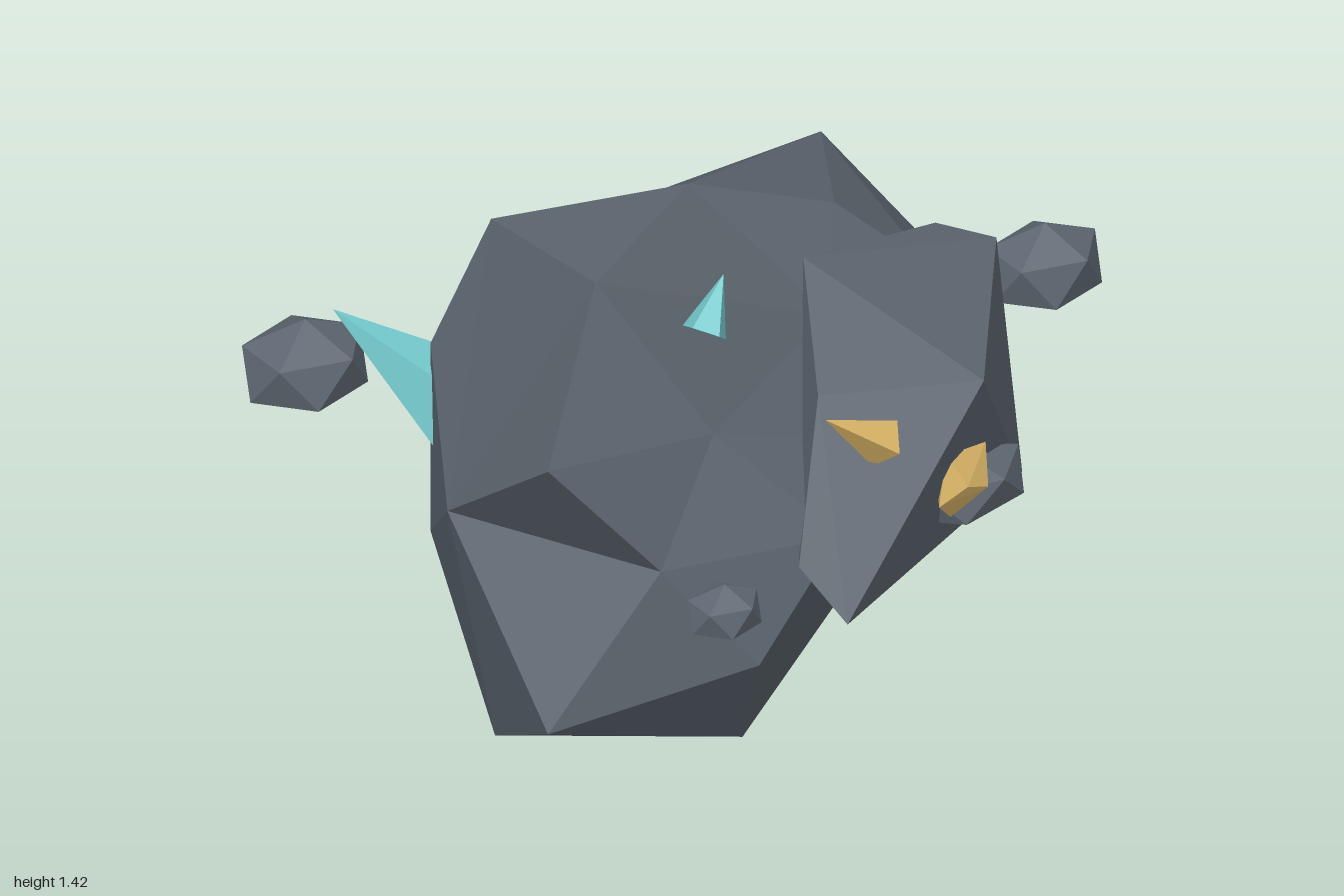
import * as THREE from 'three';
import { ConvexGeometry } from 'three/addons/geometries/ConvexGeometry.js';

const rock = new THREE.MeshStandardMaterial({ color: 0x5e6771, flatShading: true });
rock.name = 'slate rock';
const gold = new THREE.MeshStandardMaterial({ color: 0xdcb768, flatShading: true });
gold.name = 'gold ore';
const teal = new THREE.MeshStandardMaterial({ color: 0x72c8ca, flatShading: true });
teal.name = 'teal crystal';

const toVectors = (list) => list.map((p) => new THREE.Vector3(...p));

function add(group, name, geometry, material) {
  const mesh = new THREE.Mesh(geometry, material);
  mesh.name = name;
  group.add(mesh);
  return mesh;
}

// Star-shaped rock: the hull of the directions gives the faces, corners then move out or in
function starRock(points, center, stretch) {
  const corners = toVectors(points);
  const dirs = corners.map((p) => {
    const d = p.clone().sub(center);
    d.x /= stretch;
    return d.normalize();
  });
  const geometry = new ConvexGeometry(dirs);
  const pos = geometry.attributes.position;
  const v = new THREE.Vector3();
  for (let i = 0; i < pos.count; i++) {
    v.fromBufferAttribute(pos, i);
    let best = 0;
    dirs.forEach((d, k) => {
      if (d.distanceToSquared(v) < dirs[best].distanceToSquared(v)) best = k;
    });
    pos.setXYZ(i, corners[best].x, corners[best].y, corners[best].z);
  }
  geometry.computeVertexNormals();
  return geometry;
}

// Squashed icosahedron with a corner pointing up
function pebble(group, name, center, radii) {
  const geometry = new THREE.IcosahedronGeometry(1, 0);
  geometry.rotateZ(-Math.atan(2 / (1 + Math.sqrt(5))));
  geometry.scale(...radii);
  geometry.computeVertexNormals();
  add(group, name, geometry, rock).position.set(...center);
}

// Pointed crystal from a base centre to a tip
function shard(group, name, base, tip, radius, sides, material) {
  const a = new THREE.Vector3(...base);
  const axis = new THREE.Vector3(...tip).sub(a);
  const length = axis.length();
  const geometry = new THREE.ConeGeometry(radius, length, sides);
  geometry.translate(0, length / 2, 0);
  const mesh = add(group, name, geometry, material);
  mesh.position.copy(a);
  mesh.quaternion.setFromUnitVectors(new THREE.Vector3(0, 1, 0), axis.normalize());
}

export function createModel() {
  const model = new THREE.Group();
  model.name = 'asteroid';

  // Main body with a notch on its side and a hollow under the slab
  const body = [
    [-0.24, 1.38, 0.02], [-0.24, 0, 0.02], [-0.95, 0.7, 0.02], [0.57, 0.7, 0.02],
    [-0.73, 1.42, 0.33], [-0.64, 1.29, -0.24], [0.19, 1.18, 0.02], [0.45, 1.08, -0.41],
    [0.71, 0.7, -0.24], [0.52, 0.36, 0.02], [0.5, 0.36, -0.44], [0.13, 0.19, -0.2],
    [-0.24, 0.19, -0.33], [-0.81, 0.02, 0.02], [-0.38, 0.08, 0.45], [-0.96, 1.03, 0.46],
    [-0.96, 0.29, 0.46], [-0.69, 0.7, 0.55], [-0.47, 0.41, 0.65], [-0.24, 0.7, 0.66],
    [-0.5, 1, 0.5], [0.4, 0.7, -0.73], [-0.24, 0.7, -0.69], [0, 0.96, -0.57],
    [-0.43, 0.96, -0.52], [-0.45, 0.42, -0.45], [-0.77, 0.95, -0.31], [-0.77, 0.42, -0.31],
    [0.32, 0.45, 0.37], [-0.03, 0.41, 0.43], [0.4, 0.98, 0.13], [0, 1.05, 0.27],
    [0.1, 0.75, 0.45],
  ];
  add(model, 'mainRock', starRock(body, new THREE.Vector3(-0.24, 0.7, 0.02), 1.38), rock);

  // Angular slab overhanging the front
  add(model, 'frontSlab', new ConvexGeometry(toVectors([
    [-0.02, 1.18, 0.19], [0.46, 1.05, 0.06], [0.57, 1.02, 0.16], [0.15, 1.03, 0.71],
    [-0.22, 1.03, 0.54], [-0.29, 0.52, 0.765], [0.43, 0.56, 0.47], [-0.36, 0.655, 0.66],
    [-0.21, 0.485, 0.62], [0.45, 0.7, 0.27], [0.36, 0.56, 0.28],
  ])), rock);
  pebble(model, 'frontLump', [0.17, 0.67, 0.57], [0.2, 0.1, 0.14]);

  // Loose rocks around the body
  pebble(model, 'leftPebble', [0.81, 0.79, 0.02], [0.165, 0.12, 0.135]);
  pebble(model, 'frontPebble', [-0.76, 0.795, 0.92], [0.105, 0.075, 0.09]);
  pebble(model, 'backPebble', [-0.75, 0.61, -0.87], [0.18, 0.125, 0.152]);

  // Teal crystals
  shard(model, 'topCrystal', [-0.46, 1.225, 0.405], [-0.38, 1.345, 0.37], 0.058, 5, teal);
  shard(model, 'sideCrystal', [-0.69, 0.75, -0.31], [-0.94, 1.02, -0.48], 0.135, 5, teal);

  // Gold ore pieces
  shard(model, 'frontOreSpike', [-0.1, 0.91, 0.65], [-0.275, 1.035, 0.65], 0.063, 4, gold);
  add(model, 'frontOreNugget', new ConvexGeometry(toVectors([
    [0.06, 0.835, 0.68], [0.19, 0.82, 0.66], [0.17, 0.72, 0.7], [0.08, 0.65, 0.67],
    [0.025, 0.71, 0.7], [0.1, 0.75, 0.715], [0.1, 0.74, 0.58],
  ])), gold);
  add(model, 'backOreNugget', new ConvexGeometry(toVectors([
    [0.295, 0.82, -0.65], [0.41, 0.89, -0.625], [0.44, 0.93, -0.53],
    [0.53, 0.86, -0.44], [0.58, 0.78, -0.5], [0.5, 0.75, -0.44],
  ])), gold);

  return model;
}
